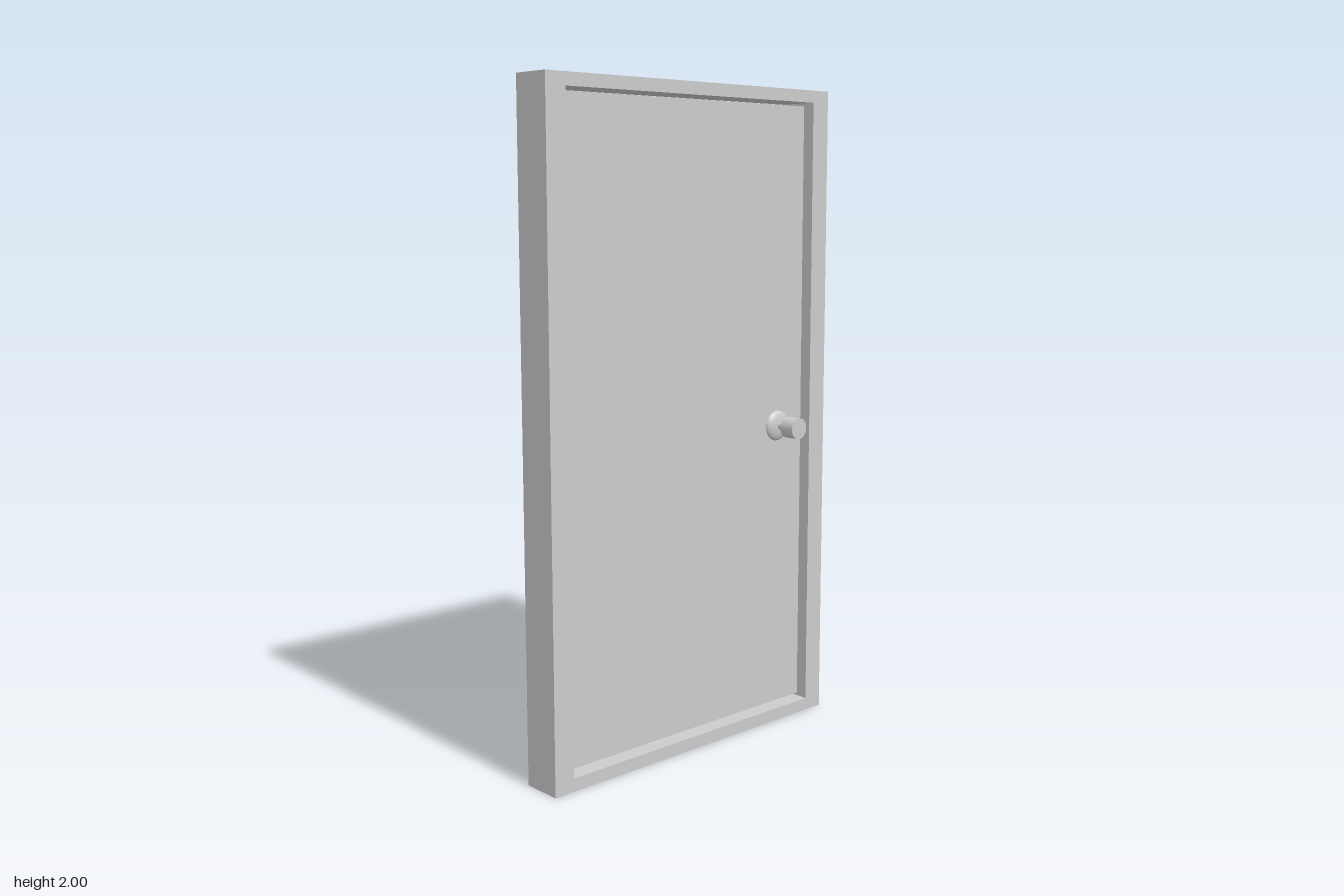
import * as THREE from 'three';

const material = new THREE.MeshStandardMaterial({ color: 0xcccccc });

function part(geometry, name) {
  const mesh = new THREE.Mesh(geometry, material);
  mesh.name = name;
  return mesh;
}

// Corner points of an upright rectangle, centred on the width
function rectangle(halfWidth, bottom, top) {
  return [[-halfWidth, bottom], [halfWidth, bottom], [halfWidth, top], [-halfWidth, top]]
    .map(([x, y]) => new THREE.Vector2(x, y));
}

// Knob with stem and domed rosette, built along +x from the door's face
function makeKnob(face) {
  const knob = new THREE.Group();

  const dome = [];
  for (let i = 0; i <= 8; i++) {
    const a = (i / 8) * Math.PI / 2;
    dome.push(new THREE.Vector2(0.048 * Math.cos(a), 0.018 * Math.sin(a)));
  }
  const rosette = part(new THREE.LatheGeometry(dome, 32).rotateZ(-Math.PI / 2), 'rosette');
  rosette.position.x = face;

  const stem = part(new THREE.CylinderGeometry(0.012, 0.012, 0.05, 24).rotateZ(-Math.PI / 2), 'stem');
  stem.position.x = 0.052;

  const handle = part(new THREE.CylinderGeometry(0.033, 0.033, 0.049, 32).rotateZ(-Math.PI / 2), 'handle');
  handle.position.x = 0.0985;

  knob.add(rosette, stem, handle);
  return knob;
}

export function createModel() {
  const model = new THREE.Group();
  model.name = 'door';

  // Frame with a rectangular opening
  const depth = 0.126;
  const outline = new THREE.Shape(rectangle(0.555, 0, 2));
  outline.holes.push(new THREE.Path(rectangle(0.488, 0.04, 1.963).reverse()));
  const frame = new THREE.ExtrudeGeometry(outline, { depth, bevelEnabled: false });
  frame.translate(0, 0, -depth / 2).rotateY(Math.PI / 2);
  model.add(part(frame, 'frame'));

  // Door leaf, with a narrow gap to the frame
  const face = 0.026;
  const leaf = part(new THREE.BoxGeometry(face * 2, 1.904, 0.972), 'leaf');
  leaf.position.y = 1.002;
  model.add(leaf);

  // One knob on each side
  for (const side of [1, -1]) {
    const knob = makeKnob(face);
    knob.name = side > 0 ? 'leftKnob' : 'rightKnob';
    knob.position.set(0, 0.96, -0.375);
    if (side < 0) knob.rotation.y = Math.PI;
    model.add(knob);
  }

  return model;
}
